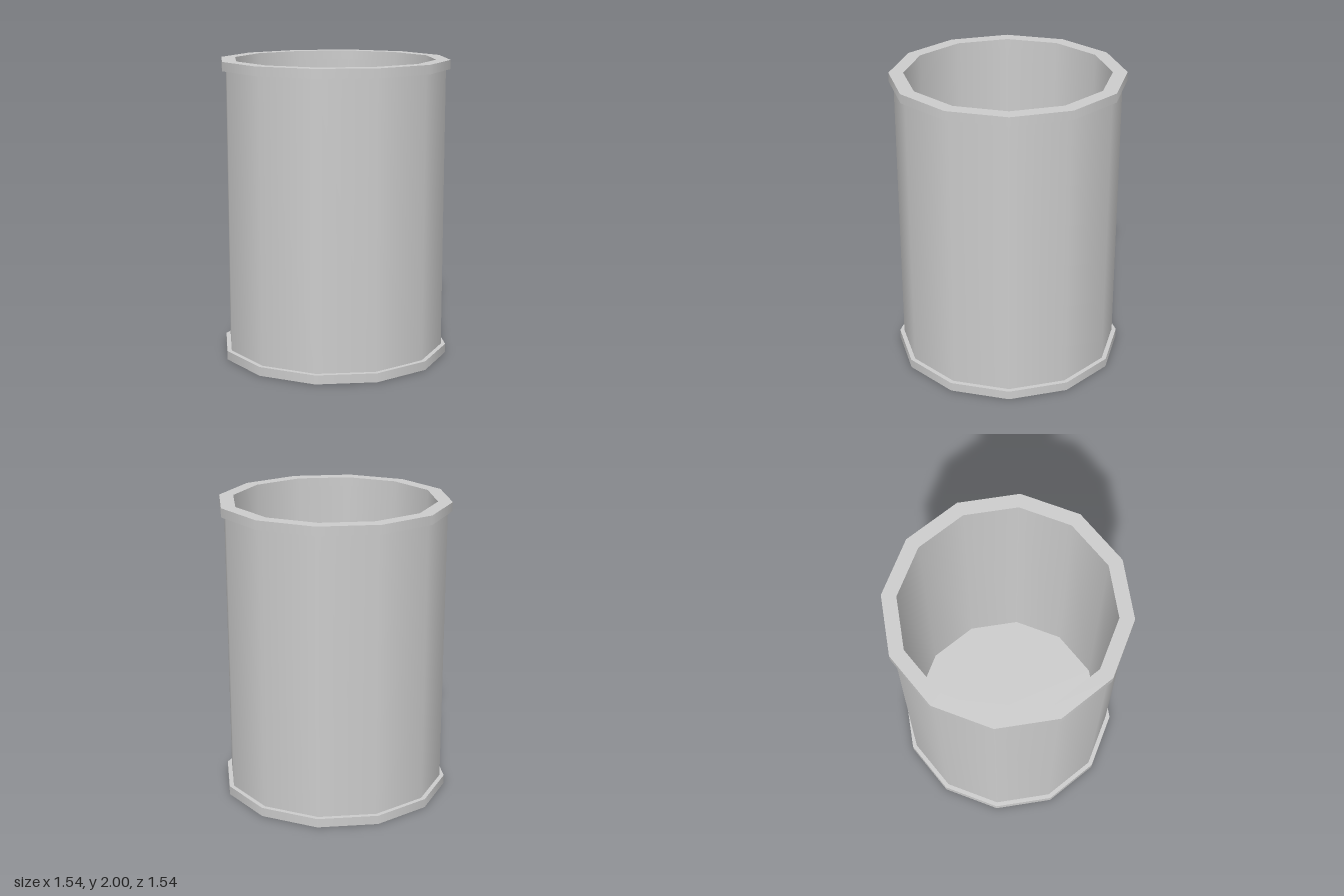
import * as THREE from 'three';
import { mergeGeometries } from 'three/addons/utils/BufferGeometryUtils.js';

const SIDES = 12;
const RIM = 0.77, WALL = 0.74, INNER = 0.675;
const HEIGHT = 2, BAND = 0.06;
const FLOOR_LOW = 0.07, FLOOR_HIGH = 0.1;

const material = new THREE.MeshStandardMaterial({ color: 0xcccccc });

// Revolves each profile segment on its own: smooth round the axis, sharp at the corners.
function revolve(name, profile) {
  const strips = [];
  for (let i = 0; i + 1 < profile.length; i++) {
    const points = [profile[i], profile[i + 1]].map(([r, y]) => new THREE.Vector2(r, y));
    strips.push(new THREE.LatheGeometry(points, SIDES));
  }
  const mesh = new THREE.Mesh(mergeGeometries(strips), material);
  mesh.name = name;
  return mesh;
}

export function createModel() {
  const barrel = new THREE.Group();
  barrel.name = 'barrel';
  const top = HEIGHT - BAND;

  barrel.add(
    // Outer and inner faces of the wall
    revolve('outerWall', [[WALL, BAND], [WALL, top]]),
    revolve('innerWall', [[INNER, top], [INNER, FLOOR_HIGH]]),
    // Projecting bands at both ends
    revolve('bottomRim', [[INNER, FLOOR_LOW], [INNER, 0], [RIM, 0], [RIM, BAND], [WALL, BAND]]),
    revolve('topRim', [[WALL, top], [RIM, top], [RIM, HEIGHT], [INNER, HEIGHT], [INNER, top]]),
    // Recessed floor, seen from inside and from below
    revolve('floorTop', [[INNER, FLOOR_HIGH], [0, FLOOR_HIGH]]),
    revolve('floorUnderside', [[0, FLOOR_LOW], [INNER, FLOOR_LOW]])
  );
  return barrel;
}
